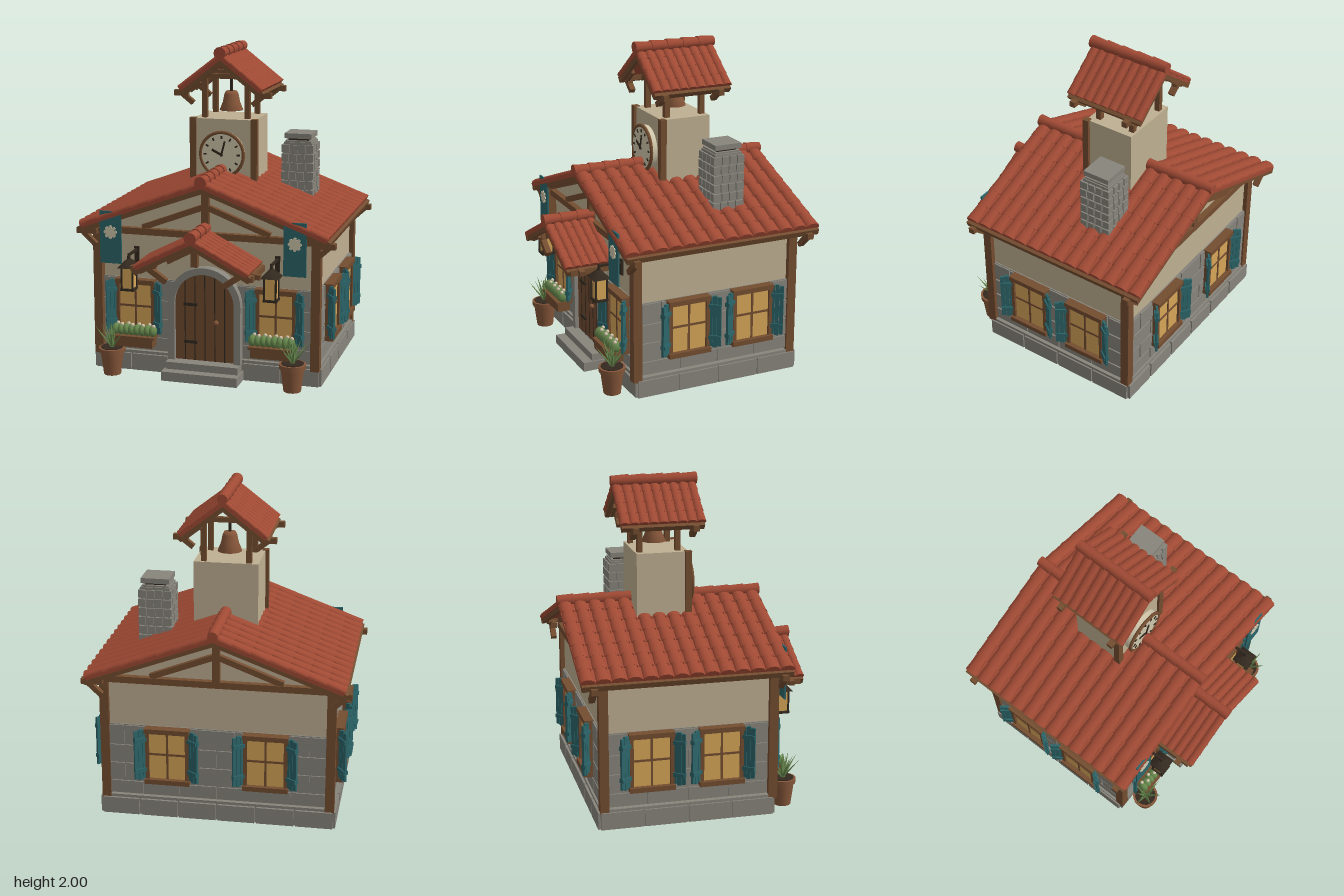
import * as THREE from 'three';
import { mergeGeometries } from 'three/addons/utils/BufferGeometryUtils.js';

const mat = (name, color) => Object.assign(new THREE.MeshStandardMaterial({ color }), { name });
const M = {
  tile: mat('roofTile', 0xa04a34), plaster: mat('plaster', 0xbfb092), wood: mat('wood', 0x744d30),
  stone: mat('stone', 0x88857c), teal: mat('tealPaint', 0x2c666a), glass: mat('warmGlass', 0xd6a658),
  dark: mat('darkIron', 0x33291f), leaf: mat('leaf', 0x66874c), clay: mat('clay', 0x87573a), cream: mat('cream', 0xd2c8ac),
};

const group = (parent, name, x = 0, y = 0, z = 0, ry = 0) => {
  const g = new THREE.Group();
  g.name = name; g.position.set(x, y, z); g.rotation.y = ry; parent.add(g);
  return g;
};
const add = (parent, name, geo, m, x = 0, y = 0, z = 0) => {
  const o = new THREE.Mesh(geo, m);
  o.name = name; o.position.set(x, y, z); parent.add(o);
  return o;
};
const box = (parent, name, m, w, h, d, x, y, z) => add(parent, name, new THREE.BoxGeometry(w, h, d), m, x, y, z);
// Straight timber between two points in an upright plane at depth z
const bar = (parent, name, m, x1, y1, x2, y2, z, t = 0.035, d = 0.035) => {
  const o = box(parent, name, m, Math.hypot(x2 - x1, y2 - y1), t, d, (x1 + x2) / 2, (y1 + y2) / 2, z);
  o.rotation.z = Math.atan2(y2 - y1, x2 - x1);
  return o;
};
const cyl = (rt, rb, h, n = 16) => new THREE.CylinderGeometry(rt, rb, h, n);

// Gabled roof: ridge at (0, ridgeY), eaves at (+-half, eaveY)
function roof(parent, name, { half, ridgeY, eaveY, z0, z1, cols, rows, cap }) {
  const len = z1 - z0, L = Math.hypot(half, ridgeY - eaveY), ang = Math.atan2(ridgeY - eaveY, half);
  const g = group(parent, name, 0, ridgeY, (z0 + z1) / 2);
  const pitch = len / cols, rowL = L / rows, tiles = [];
  for (let c = 0; c < cols; c++) for (let r = 0; r < rows; r++) {
    const t = cyl(pitch * 0.38, pitch * 0.5, rowL * 1.12, 10);
    t.rotateZ(Math.PI / 2); t.scale(1, 0.62, 1); t.rotateZ(-0.05);
    t.translate((r + 0.46) * rowL, -0.012, -len / 2 + (c + 0.5) * pitch);
    tiles.push(t);
  }
  const tileGeo = mergeGeometries(tiles);
  for (const ry of [0, Math.PI]) {
    const slope = group(group(g, 'roofSide', 0, 0, 0, ry), 'slope');
    slope.rotation.z = -ang;
    add(slope, 'tiles', tileGeo, M.tile);
    box(slope, 'roofSlab', M.tile, L, 0.025, len - 0.01, L / 2, -0.022, 0);
    for (const e of [-1, 1]) box(slope, 'bargeBoard', M.wood, L + 0.02, 0.03, 0.025, L / 2 + 0.01, -0.047, e * (len / 2 - 0.025));
    box(slope, 'fascia', M.wood, 0.03, 0.035, len - 0.02, L + 0.008, -0.04, 0);
    const tails = Math.round(len / 0.11);
    for (let i = 0; i < tails; i++)
      box(slope, 'rafterTail', M.wood, 0.12, 0.03, 0.022, L - 0.06, -0.055, -len / 2 + (i + 0.5) * len / tails);
  }
  // Ridge caps
  const n = Math.max(3, Math.round(len / 0.1));
  for (let i = 0; i < n; i++)
    add(g, 'ridgeCap', cyl(cap, cap * 0.82, len / n * 1.05, 12), M.tile, 0, 0, -len / 2 + (i + 0.5) * len / n).rotation.x = Math.PI / 2;
  return g;
}

// Window with frame, four panes and two half-open shutters, facing +z
function windowUnit(parent, x, y, z, ry, sx = 1) {
  const g = group(parent, 'window', x, y, z, ry);
  g.scale.x = sx;
  box(g, 'glass', M.glass, 0.23, 0.31, 0.03, 0, 0, 0.005);
  for (const s of [-1, 1]) {
    box(g, 'frameSide', M.wood, 0.022, 0.33, 0.05, s * 0.122, 0, 0.01);
    const sh = group(g, 'shutter', s * 0.128, 0.01, 0.02);
    sh.rotation.y = -s * 0.62;
    for (let i = 0; i < 3; i++) box(sh, 'plank', M.teal, 0.025, i === 1 ? 0.33 : 0.315, 0.014, s * (0.014 + i * 0.027), 0, 0);
    for (const b of [-0.1, 0.1]) box(sh, 'batten', M.teal, 0.078, 0.025, 0.03, s * 0.041, b, 0);
  }
  box(g, 'lintel', M.wood, 0.275, 0.03, 0.06, 0, 0.165, 0.015);
  box(g, 'sill', M.wood, 0.275, 0.03, 0.07, 0, -0.165, 0.015);
  box(g, 'mullion', M.wood, 0.013, 0.31, 0.04, 0, 0, 0.005);
  box(g, 'transom', M.wood, 0.23, 0.013, 0.04, 0, 0.01, 0.005);
}

// Arched outline standing on y0 with its arc centred at yc
function arch(S, r, y0, yc) {
  const s = new S();
  s.moveTo(-r, y0); s.lineTo(r, y0); s.lineTo(r, yc); s.absarc(0, yc, r, 0, Math.PI, false); s.lineTo(-r, y0);
  return s;
}
const extrude = (s, depth) => new THREE.ExtrudeGeometry(s, { depth, bevelEnabled: false, curveSegments: 20 });

export function createModel() {
  const root = new THREE.Group();
  root.name = 'clockTowerHouse';

  // Walls
  const body = group(root, 'walls', 0, 0, -0.095);
  const gable = new THREE.Shape([[-0.685, 0.1], [0.685, 0.1], [0.685, 0.915], [0, 1.185], [-0.685, 0.915]].map(p => new THREE.Vector2(...p)));
  add(body, 'plasterWalls', extrude(gable, 1.01), M.plaster, 0, 0, -0.505);
  box(body, 'foundation', M.stone, 1.43, 0.125, 1.06, 0, 0.0625, 0);
  const courses = [0.13, 0.22, 0.34, 0.46, 0.59];
  for (let k = 0; k < 4; k++) {
    const side = group(body, 'stoneFace', 0, 0, 0, k * Math.PI / 2);
    const w = k % 2 ? 1.0 : 1.36, d = k % 2 ? 0.685 : 0.505, n = k % 2 ? 4 : 6;
    box(side, 'stoneBacking', M.stone, w, 0.46, 0.01, 0, 0.36, d + 0.003);
    for (let i = 0; i < n; i++) {
      const bw = (w + 0.07) / n;
      box(side, 'footingStone', M.stone, bw - 0.012, 0.105, 0.02, (i + 0.5 - n / 2) * bw, 0.055, d + 0.03);
    }
    courses.slice(0, 4).forEach((y, r) => {
      const h = courses[r + 1] - y, bw = w / n;
      for (let i = 0; i < n + r % 2; i++) {
        const a = Math.max(-w / 2, (i - n / 2 - (r % 2) / 2) * bw), b = Math.min(w / 2, (i + 1 - n / 2 - (r % 2) / 2) * bw);
        box(side, 'wallStone', M.stone, b - a - 0.01, h - 0.01, 0.014, (a + b) / 2, y + h / 2, d + 0.01);
      }
    });
  }
  for (const s of [-1, 1]) for (const z of [-0.505, 0.53])
    box(body, 'cornerPost', M.wood, 0.055, 0.8, 0.055, s * 0.688, 0.5, z);

  // Gable timbers, front and back
  for (const z of [0.425, -0.615]) {
    box(root, 'tieBeam', M.wood, 1.42, 0.04, 0.045, 0, 0.89, z);
    box(root, 'kingPost', M.wood, 0.045, 0.27, 0.045, 0, 1.04, z);
    for (const s of [-1, 1]) {
      bar(root, 'strut', M.wood, s * 0.4, 0.915, s * 0.02, 1.06, z);
      bar(root, 'rafter', M.wood, s * 0.7, 0.915, 0, 1.17, z);
      box(root, 'eaveBeam', M.wood, 0.13, 0.035, 0.04, s * 0.745, 0.885, z + Math.sign(z) * 0.05);
      bar(root, 'eaveBrace', M.wood, s * 0.69, 0.8, s * 0.77, 0.875, z + Math.sign(z) * 0.05, 0.03);
    }
  }

  roof(root, 'mainRoof', { half: 0.775, ridgeY: 1.232, eaveY: 0.945, z0: -0.745, z1: 0.54, cols: 14, rows: 7, cap: 0.038 });
  roof(root, 'porchRoof', { half: 0.355, ridgeY: 0.94, eaveY: 0.757, z0: 0.42, z1: 0.745, cols: 6, rows: 5, cap: 0.038 });
  roof(root, 'towerRoof', { half: 0.272, ridgeY: 1.957, eaveY: 1.747, z0: -0.4, z1: 0.13, cols: 9, rows: 4, cap: 0.038 });

  // Porch timbers
  box(root, 'porchKingPost', M.wood, 0.04, 0.16, 0.04, 0, 0.83, 0.65);
  for (const s of [-1, 1]) {
    bar(root, 'porchStrut', M.wood, s * 0.17, 0.77, 0, 0.86, 0.65, 0.03);
    box(root, 'porchBeam', M.wood, 0.04, 0.035, 0.29, s * 0.35, 0.715, 0.57);
    bar(root, 'porchBracket', M.wood, s * 0.4, 0.715, s * 0.24, 0.74, 0.65, 0.03);
    bar(root, 'porchBrace', M.wood, s * 0.31, 0.735, s * 0.18, 0.645, 0.65, 0.035);
  }

  // Bell tower
  const tower = group(root, 'tower');
  box(tower, 'towerWalls', M.plaster, 0.395, 0.54, 0.325, 0, 1.27, -0.123);
  for (const s of [-1, 1]) {
    box(tower, 'towerPost', M.wood, 0.04, 0.45, 0.04, s * 0.197, 1.32, 0.035);
    for (const z of [-0.018, -0.255]) box(tower, 'belfryPost', M.wood, 0.033, 0.27, 0.033, s * 0.138, 1.675, z);
    for (const z of [0.06, -0.31]) {
      box(tower, 'belfryBeam', M.wood, 0.09, 0.035, 0.035, s * 0.265, 1.7, z);
      bar(tower, 'belfryBrace', M.wood, s * 0.26, 1.695, s * 0.19, 1.64, z, 0.03);
    }
    box(tower, 'eavePurlin', M.wood, 0.03, 0.03, 0.46, s * 0.24, 1.715, -0.135);
  }
  for (const z of [-0.018, -0.255]) box(tower, 'belfryCrossBeam', M.wood, 0.3, 0.03, 0.03, 0, 1.8, z);
  const bell = [[0, 0.12], [0.035, 0.12], [0.045, 0.1], [0.055, 0.05], [0.075, 0], [0.06, 0.005], [0, 0.09]];
  add(tower, 'bell', new THREE.LatheGeometry(bell.reverse().map(p => new THREE.Vector2(...p)), 20), M.clay, 0, 1.575, -0.135).material.side = THREE.DoubleSide;
  box(tower, 'bellHanger', M.dark, 0.015, 0.25, 0.015, 0, 1.81, -0.135);

  // Clock
  const clock = group(tower, 'clock', 0, 1.325, 0.04);
  add(clock, 'clockFace', cyl(0.138, 0.138, 0.05, 32), M.cream, 0, 0, 0.02).rotation.x = Math.PI / 2;
  add(clock, 'clockRim', new THREE.TorusGeometry(0.138, 0.011, 8, 32), M.wood, 0, 0, 0.04);
  for (let i = 0; i < 12; i++) {
    const a = i * Math.PI / 6, c = Math.cos(a), s = Math.sin(a);
    bar(clock, 'hourMark', M.dark, c * 0.098, s * 0.098, c * 0.118, s * 0.118, 0.047, 0.01, 0.006);
  }
  bar(clock, 'hourHand', M.dark, 0.008, -0.005, -0.062, 0.03, 0.052, 0.014, 0.006);
  bar(clock, 'minuteHand', M.dark, -0.003, -0.01, 0.022, 0.085, 0.055, 0.011, 0.006);

  // Chimney
  const chimney = group(root, 'chimney', 0.425, 0, -0.252);
  box(chimney, 'chimneyCore', M.stone, 0.18, 0.4, 0.18, 0, 1.18, 0);
  for (let r = 0; r < 6; r++) for (let k = 0; k < 4; k++) {
    const face = group(chimney, 'chimneyCourse', 0, 1.055 + r * 0.057, 0, k * Math.PI / 2);
    for (let i = 0; i < 4; i++) box(face, 'brick', M.stone, 0.043, 0.048, 0.03, (i - 1.5) * 0.051 + (r % 2 ? 0.004 : -0.004), 0, 0.087);
  }
  box(chimney, 'chimneyNeck', M.dark, 0.13, 0.05, 0.13, 0, 1.39, 0);
  box(chimney, 'chimneyLedge', M.stone, 0.165, 0.015, 0.165, 0, 1.383, 0);
  box(chimney, 'chimneyCap', M.stone, 0.175, 0.032, 0.175, 0, 1.42, 0);

  // Door and steps
  const surround = arch(THREE.Shape, 0.23, 0.1, 0.465);
  surround.holes.push(arch(THREE.Path, 0.188, 0.1, 0.465));
  add(root, 'doorSurround', extrude(surround, 0.065), M.stone, 0, 0, 0.41);
  add(root, 'door', extrude(arch(THREE.Shape, 0.19, 0.1, 0.465), 0.04), M.wood, 0, 0, 0.41);
  for (let i = -2; i <= 2; i++) {
    const x = i * 0.063, top = 0.465 + Math.sqrt(0.188 ** 2 - x * x);
    box(root, 'plankGap', M.dark, 0.006, top - 0.1, 0.004, x, (top + 0.1) / 2, 0.451);
  }
  for (const y of [0.22, 0.458]) box(root, 'hinge', M.dark, 0.085, 0.018, 0.012, -0.09, y, 0.455);
  add(root, 'doorKnob', new THREE.SphereGeometry(0.016, 12, 8), M.clay, 0.075, 0.355, 0.465);
  box(root, 'lowerStep', M.stone, 0.48, 0.058, 0.17, 0, 0.029, 0.505);
  box(root, 'upperStep', M.stone, 0.46, 0.045, 0.1, 0, 0.08, 0.48);

  // Windows on all four sides
  for (const s of [-1, 1]) {
    windowUnit(root, s * 0.445, 0.41, 0.43, 0, 0.92);
    windowUnit(root, s * 0.3, 0.41, -0.62, Math.PI);
    for (const z of [0.108, -0.318]) windowUnit(root, s * 0.705, 0.41, z, s * Math.PI / 2);
  }

  // Front decorations, mirrored
  for (const s of [-1, 1]) {
    // Banner with rosette
    box(root, 'banner', M.teal, 0.138, 0.325, 0.01, s * 0.575, 0.862, 0.523);
    add(root, 'rosette', cyl(0.03, 0.03, 0.008, 16), M.cream, s * 0.575, 0.895, 0.53).rotation.x = Math.PI / 2;
    for (let i = 0; i < 8; i++)
      add(root, 'petal', cyl(0.011, 0.011, 0.008, 8), M.cream, s * 0.575 + 0.032 * Math.cos(i * Math.PI / 4), 0.895 + 0.032 * Math.sin(i * Math.PI / 4), 0.53).rotation.x = Math.PI / 2;

    // Lantern
    const lamp = group(root, 'lantern', s * 0.445, 0, 0.565);
    box(lamp, 'lampGlass', M.glass, 0.064, 0.125, 0.064, 0, 0.63, 0);
    for (const a of [-1, 1]) for (const b of [-1, 1]) box(lamp, 'lampBar', M.dark, 0.01, 0.145, 0.01, a * 0.035, 0.63, b * 0.035);
    box(lamp, 'lampBase', M.dark, 0.085, 0.014, 0.085, 0, 0.56, 0);
    add(lamp, 'lampHood', cyl(0.014, 0.08, 0.05, 4), M.dark, 0, 0.722, 0).rotation.y = Math.PI / 4;
    add(lamp, 'lampFinial', cyl(0.008, 0.012, 0.04, 8), M.dark, 0, 0.76, 0);
    box(lamp, 'lampArm', M.dark, 0.014, 0.014, 0.15, 0, 0.77, -0.07);
    box(lamp, 'lampPlate', M.dark, 0.03, 0.1, 0.012, 0, 0.74, -0.145);

    // Flower box
    const fb = group(root, 'flowerBox', s * 0.435, 0, 0.505);
    box(fb, 'planter', M.wood, 0.25, 0.06, 0.085, 0, 0.212, 0);
    box(fb, 'planterRim', M.wood, 0.275, 0.016, 0.1, 0, 0.243, 0);
    for (let i = 0; i < 8; i++) {
      const x = (i - 3.5) * 0.034;
      add(fb, 'foliage', new THREE.SphereGeometry(0.03, 10, 8), M.leaf, x, 0.282, 0.005).scale.set(0.85, 1.2, 1.2);
      add(fb, 'blossom', new THREE.SphereGeometry(0.012, 8, 6), M.cream, x + 0.008, 0.315, 0.012 * (i % 2 ? 1 : -1));
    }

    // Potted plant
    const pot = group(root, 'pottedPlant', s * 0.572, 0, 0.542);
    add(pot, 'pot', cyl(0.072, 0.053, 0.15, 20), M.clay, 0, 0.075, 0);
    add(pot, 'potRim', cyl(0.082, 0.08, 0.03, 20), M.clay, 0, 0.155, 0);
    add(pot, 'soil', cyl(0.068, 0.068, 0.006, 16), M.dark, 0, 0.171, 0);
    for (let i = 0; i < 18; i++) {
      const leaf = new THREE.ConeGeometry(0.016, 0.15 + 0.02 * (i % 3), 4);
      leaf.translate(0, 0.075, 0); leaf.scale(1, 1, 0.5);
      leaf.rotateX(0.12 + 0.28 * (i % 3)); leaf.rotateY(i * 2.4);
      add(pot, 'leafBlade', leaf, M.leaf, 0, 0.17, 0);
    }
  }
  return root;
}
